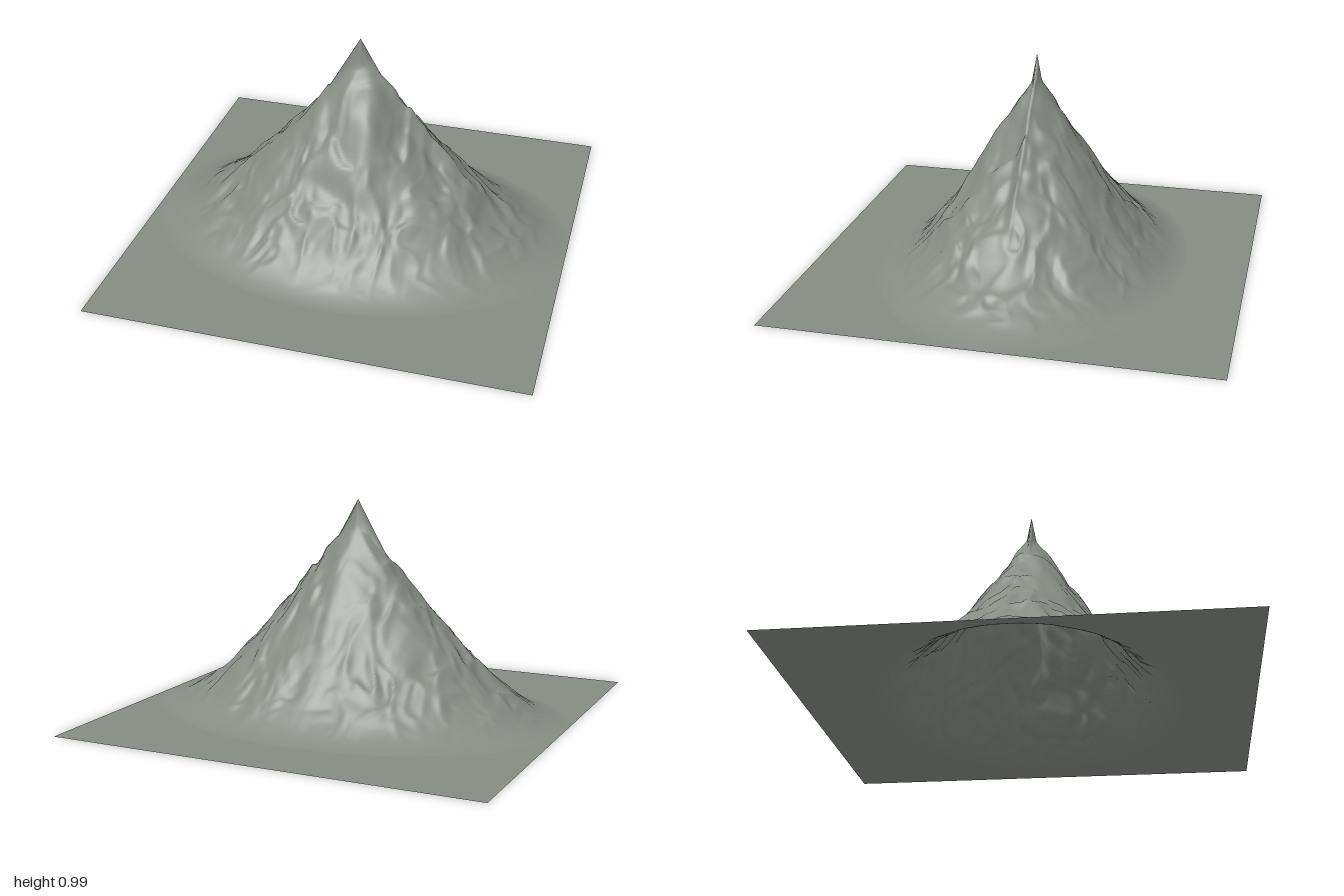
import * as THREE from 'three';

// Small seeded value noise
function hash(i, j) {
  let n = Math.imul(i, 374761393) + Math.imul(j, 668265263) + 1274126177;
  n = Math.imul(n ^ (n >>> 13), 1274126177);
  return ((n ^ (n >>> 16)) >>> 0) / 4294967296;
}
function noise(x, y) {
  const i = Math.floor(x), j = Math.floor(y);
  const s = (t) => t * t * t * (t * (t * 6 - 15) + 10);
  const u = s(x - i), v = s(y - j);
  const a = THREE.MathUtils.lerp(hash(i, j), hash(i + 1, j), u);
  const b = THREE.MathUtils.lerp(hash(i, j + 1), hash(i + 1, j + 1), u);
  return THREE.MathUtils.lerp(a, b, v) * 2 - 1;
}

// Height of the slope at every tenth of the way from summit to foot
const slope = [0.86, 0.78, 0.66, 0.545, 0.435, 0.33, 0.23, 0.142, 0.075, 0.025, 0];
function profile(r) {
  if (r >= 1) return 0;
  const i = Math.floor(r * 10), t = r * 10 - i;
  const at = (k) => slope[Math.min(Math.abs(k), 10)];
  const a = at(i - 1), b = at(i), c = at(i + 1), d = at(i + 2);
  return b + 0.5 * t * (c - a + t * (2 * a - 5 * b + 4 * c - d + t * (3 * (b - c) + d - a)));
}

const bump = (x, z, cx, cz, w, d) => Math.exp(-(((x - cx) / w) ** 2) - ((z - cz) / d) ** 2);

// Oval mountain: profile + eroded folds + ridge, buttress and bench
function height(x, z) {
  const r = Math.hypot(x, z / 0.71);
  if (r >= 1) return 0;
  const fade = THREE.MathUtils.smoothstep(1 - r, 0.06, 0.42) * THREE.MathUtils.smoothstep(r, 0, 0.2);

  // warped folds, stretched downhill on the back and sideways on the front
  const wx = x + 0.05 * noise(x * 7 + 9, z * 7), wz = z + 0.05 * noise(x * 7, z * 7 + 31);
  const back = THREE.MathUtils.smoothstep(-z, -0.1, 0.1);
  const folds = THREE.MathUtils.lerp(noise(wx * 8, wz * 13), noise(wx * 14 + 40, wz * 8), back);
  const ridged = 0.5 - Math.abs(noise(wx * 11 + 70, wz * 11 + 20));
  const fine = noise(wx * 26 + 5, wz * 26);
  let h = profile(r) + fade * (0.016 * folds + 0.022 * ridged + 0.007 * fine);

  // sharp crest running to the left of the summit
  const along = THREE.MathUtils.smoothstep(x, -0.15, 0.05) * THREE.MathUtils.smoothstep(0.65 - x, 0, 0.4);
  h += 0.035 * along * Math.exp(-Math.abs(z) / 0.018);
  // front buttress with a cliff on its left side
  h += 0.025 * bump(x, z, 0.08, 0.16, 0.05, 0.13);
  // hollow below the crest, flattening into a bench beside the buttress
  const hollow = THREE.MathUtils.smoothstep(x, 0.1, 0.18) * THREE.MathUtils.smoothstep(0.62 - x, 0, 0.3);
  h -= 0.055 * hollow * THREE.MathUtils.smoothstep(z, 0, 0.05) * THREE.MathUtils.smoothstep(0.32 - z, 0, 0.26);
  // shoulder high on the back
  h += 0.025 * bump(x, z, 0.03, -0.14, 0.07, 0.04);
  // crossing scars on the lower front face
  h -= 0.02 * bump(x, z - 0.3 * x, -0.06, 0.33, 0.12, 0.025);
  h -= 0.02 * bump(x, z - 0.8 * x, -0.05, 0.24, 0.07, 0.025);

  // thin blade-like summit
  return Math.max(0, h, 0.99 - 1.75 * Math.abs(x) - 5.5 * Math.abs(z));
}

export function createModel() {
  const rock = new THREE.MeshStandardMaterial({ color: 0x868b84, side: THREE.DoubleSide });
  rock.name = 'grey rock';

  // Square sheet lifted into a mountain, open underneath
  const geometry = new THREE.PlaneGeometry(2, 2, 240, 240).rotateX(-Math.PI / 2);
  const p = geometry.attributes.position;
  for (let i = 0; i < p.count; i++) p.setY(i, height(p.getX(i), p.getZ(i)));
  geometry.computeVertexNormals();

  const mountain = new THREE.Mesh(geometry, rock);
  mountain.name = 'mountainTerrain';
  const group = new THREE.Group();
  group.name = 'mountain';
  group.add(mountain);
  return group;
}
